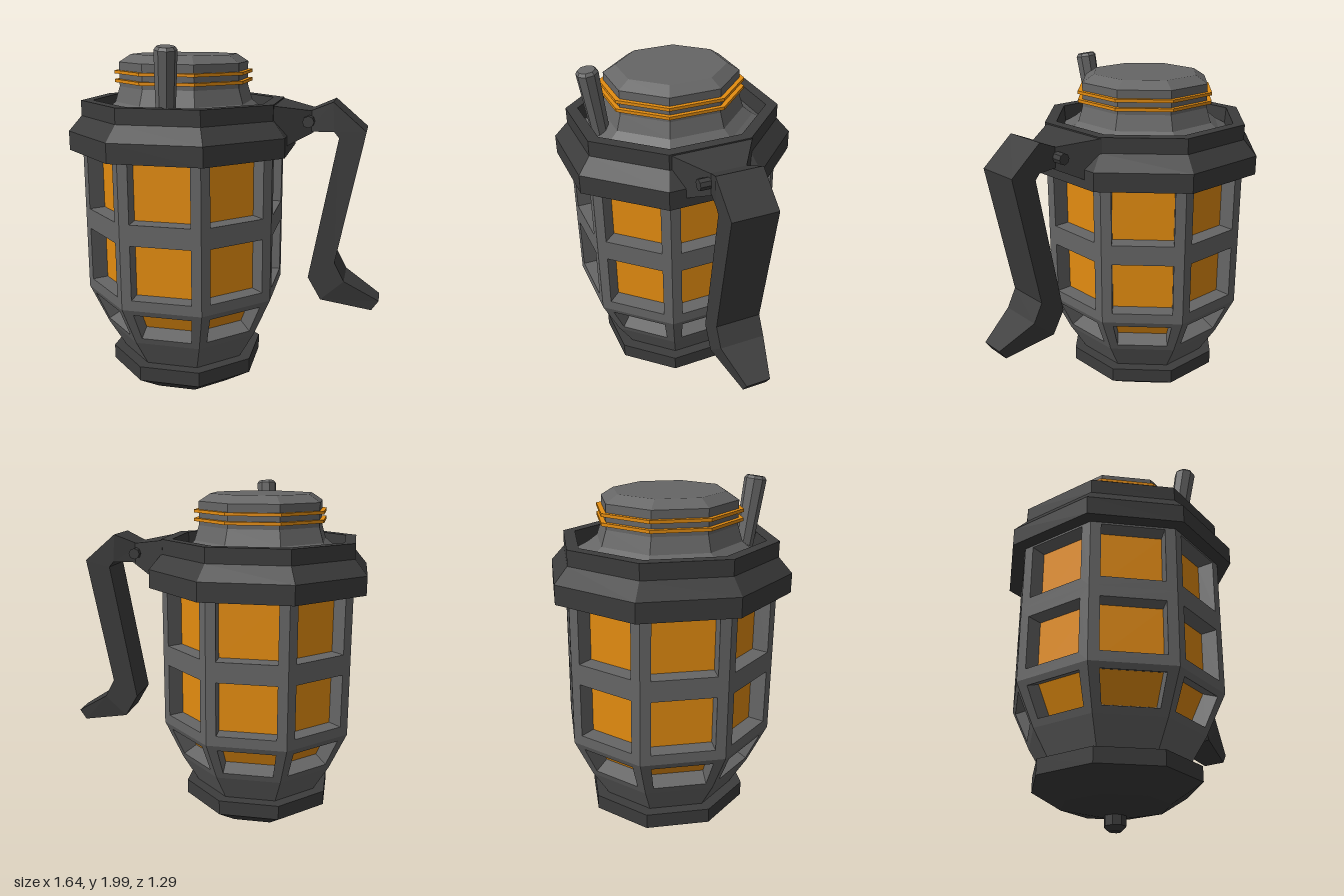
import * as THREE from 'three';

const mat = (name, color) => Object.assign(new THREE.MeshStandardMaterial({ color }), { name });

function mesh(name, geometry, material) {
  const g = geometry.index ? geometry.toNonIndexed() : geometry;
  g.computeVertexNormals(); // faceted look
  const m = new THREE.Mesh(g, material);
  m.name = name;
  return m;
}

// Eight-sided turned part from [radius, height] points, bottom to top
const turned = (name, pts, material) =>
  mesh(name, new THREE.LatheGeometry(pts.map(([r, y]) => new THREE.Vector2(r, y)), 8), material);

const quad = (out, a, b, c, d) => [a, b, c, a, c, d].forEach(p => out.push(p));
const fromPoints = pts => new THREE.BufferGeometry().setFromPoints(pts);

// Four-cornered loft; sections are [outerX, outerY, innerX, innerY, width]
function loft(sections) {
  const rings = sections.map(([ox, oy, ix, iy, w]) => [
    new THREE.Vector3(ox, oy, w / 2), new THREE.Vector3(ox, oy, -w / 2),
    new THREE.Vector3(ix, iy, -w / 2), new THREE.Vector3(ix, iy, w / 2)]);
  const out = [];
  for (let i = 0; i + 1 < rings.length; i++) {
    const A = rings[i], B = rings[i + 1];
    for (let k = 0; k < 4; k++) quad(out, A[k], B[k], B[(k + 1) % 4], A[(k + 1) % 4]);
  }
  quad(out, ...rings[0]);
  quad(out, ...rings[rings.length - 1].slice().reverse());
  return fromPoints(out);
}

// One ring of eight frame panels, each with a recessed window
function windowBand(frame, panes, b) {
  const depth = 0.087;
  for (let i = 0; i < 8; i++) {
    const at = (u, y) => {
      const r = THREE.MathUtils.mapLinear(y, b.y0, b.y1, b.r0, b.r1);
      const corner = k => new THREE.Vector3(r * Math.sin(k * Math.PI / 4), y, r * Math.cos(k * Math.PI / 4));
      return corner(i).lerp(corner(i + 1), u);
    };
    const rect = (u0, u1, y0, y1) => [at(u0, y0), at(u1, y0), at(u1, y1), at(u0, y1)];
    const O = rect(0, 1, b.y0, b.y1);
    const H = rect(0.125, 0.875, b.w0, b.w1);
    const n = O[1].clone().sub(O[0]).cross(O[3].clone().sub(O[0])).normalize();
    const I = H.map(p => p.clone().addScaledVector(n, -depth));
    for (let k = 0; k < 4; k++) {
      const j = (k + 1) % 4;
      quad(frame, O[k], O[j], H[j], H[k]);
      quad(frame, H[k], H[j], I[j], I[k]);
    }
    quad(panes, ...I);
  }
}

export function createModel() {
  const grey = mat('grey metal', 0x666666);
  const dark = mat('dark metal', 0x3c3c3c);
  const orange = mat('orange', 0xe38c10);

  const model = new THREE.Group();
  model.name = 'canister';
  model.position.x = -0.2;
  const body = new THREE.Group();
  body.name = 'body';
  body.scale.z = 1.04;
  model.add(body);

  // Base and foot
  body.add(turned('foot', [[0, 0.01], [0.03, 0.01], [0.055, 0.035], [0.055, 0.1]], dark));
  body.add(turned('base', [[0, 0.085], [0.07, 0.085], [0.27, 0.13], [0.425, 0.23], [0.425, 0.31], [0.33, 0.31]], dark));
  body.add(turned('lowerBody', [[0.355, 0.3], [0.45, 0.46]], grey));

  // Windowed cage with orange panes
  const frame = [], panes = [];
  [
    { y0: 0.46, y1: 0.68, r0: 0.45, r1: 0.55, w0: 0.495, w1: 0.65 },
    { y0: 0.68, y1: 1.08, r0: 0.55, r1: 0.55, w0: 0.735, w1: 1.025 },
    { y0: 1.08, y1: 1.46, r0: 0.55, r1: 0.55, w0: 1.135, w1: 1.44 },
  ].forEach(b => windowBand(frame, panes, b));
  body.add(mesh('cage', fromPoints(frame), grey));
  body.add(mesh('panes', fromPoints(panes), orange));

  // Collar, neck and cap
  body.add(turned('collar', [[0.5, 1.45], [0.62, 1.45], [0.62, 1.55], [0.55, 1.63], [0.55, 1.71], [0.488, 1.71], [0.48, 1.6]], dark));
  body.add(turned('neck', [[0.49, 1.62], [0.42, 1.66], [0.37, 1.70], [0.345, 1.78], [0.345, 1.905], [0.282, 1.945], [0, 1.945]], grey));
  for (const y of [1.81, 1.855]) {
    body.add(turned('neckRing', [[0.33, y - 0.008], [0.37, y - 0.008], [0.37, y + 0.008], [0.33, y + 0.008]], orange));
  }

  // Leaning pin beside the neck
  const pin = new THREE.Group();
  pin.name = 'leaningPin';
  pin.add(turned('pinShaft', [[0.048, 0], [0.057, 0.35], [0.045, 0.365], [0, 0.365]], grey));
  pin.position.set(-0.142, 1.635, 0.375);
  pin.rotation.x = 0.165;
  model.add(pin);

  // Handle on the facet between right-hand and front corners
  const handle = new THREE.Group();
  handle.name = 'handle';
  handle.rotation.y = -Math.PI / 8;
  handle.add(mesh('bracket', loft([
    [0.5, 1.705, 0.5, 1.46, 0.44],
    [0.7, 1.67, 0.7, 1.56, 0.17],
  ]), dark));
  handle.add(mesh('grip', loft([
    [0.67, 1.665, 0.67, 1.565, 0.17],
    [0.8, 1.72, 0.81, 1.57, 0.24],
    [0.97, 1.575, 0.835, 1.54, 0.24],
    [0.837, 0.88, 0.70, 0.79, 0.24],
    [0.89, 0.78, 0.77, 0.67, 0.24],
    [1.077, 0.665, 1.04, 0.61, 0.13],
  ]), dark));
  const hinge = mesh('hingePin', new THREE.CylinderGeometry(0.03, 0.03, 0.3, 8), dark);
  hinge.rotation.x = Math.PI / 2;
  hinge.position.set(0.68, 1.62, 0);
  handle.add(hinge);
  model.add(handle);

  const root = new THREE.Group();
  root.add(model);
  return root;
}
